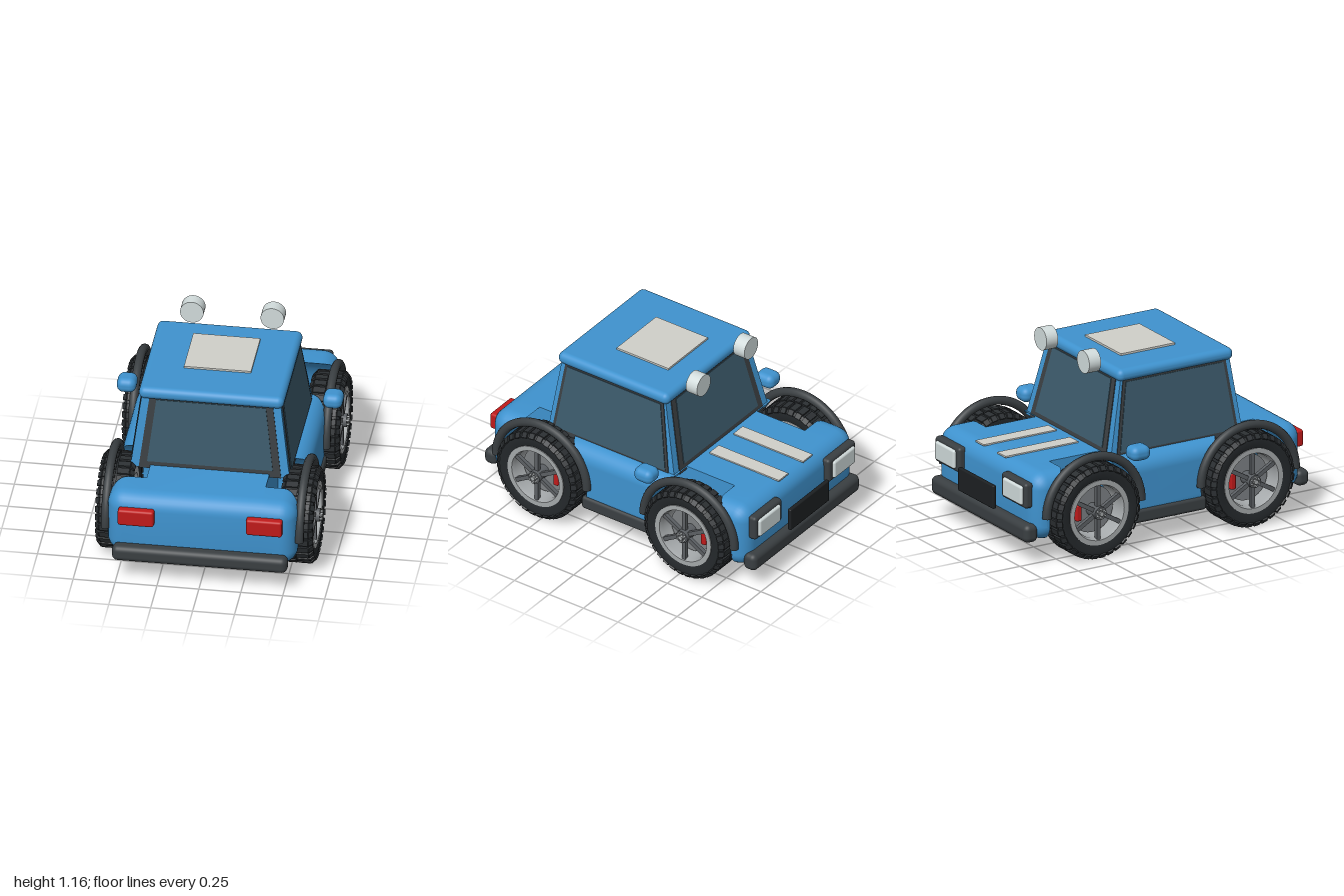
import * as THREE from 'three';
import { toCreasedNormals, mergeGeometries } from 'three/addons/utils/BufferGeometryUtils.js';
import { RoundedBoxGeometry } from 'three/addons/geometries/RoundedBoxGeometry.js';

const mat = (color) => new THREE.MeshStandardMaterial({ color });
const blue = mat(0x3f93cf), rubber = mat(0x24282b), tread = mat(0x2c3033), trim = mat(0x3a3f42);
const glass = mat(0x3c5a6b), red = mat(0xc01a1a), silver = mat(0xa4a8aa), steel = mat(0x5c6064);
const pale = mat(0xd0d0ca), lamp = mat(0xd2dcdc), plateDark = mat(0x1d2022);

const WHEEL_Z = 0.535, WHEEL_Y = 0.29, ARCH = 0.32; // wheel centres and arch radius
const CORE_X = 0.355, BODY_X = 0.565, R = 0.1;      // body half widths and edge rounding
const MID_LO = 0.24, MID_HI = 0.46, END_Z = 0.83;   // centres of the rounded body edges

function add(parent, name, geometry, material, x = 0, y = 0, z = 0) {
  const m = new THREE.Mesh(geometry, material);
  m.name = name;
  m.position.set(x, y, z);
  parent.add(m);
  return m;
}

// Rounded block given by its limits on each axis
function block(parent, name, material, [x0, x1], [y0, y1], [z0, z1], r) {
  const g = new RoundedBoxGeometry(x1 - x0, y1 - y0, z1 - z0, 4, r);
  return add(parent, name, g, material, (x0 + x1) / 2, (y0 + y1) / 2, (z0 + z1) / 2);
}

// Quarter circle points on a rounded body end, in (z, y)
function endArc(r) {
  const pts = [];
  for (const [cy, a0] of [[MID_LO, -Math.PI / 2], [MID_HI, 0]])
    for (let i = 0; i <= 8; i++) {
      const a = a0 + (i / 8) * Math.PI / 2;
      pts.push(new THREE.Vector2(END_Z + r * Math.cos(a), cy + r * Math.sin(a)));
    }
  return pts;
}

// Wheel arch curve from top to bottom; dir +1 is the end side, -1 the middle side
function archCurve(r, dir) {
  const a0 = Math.asin((MID_HI + r - WHEEL_Y) / ARCH), a1 = Math.asin((MID_LO - r - WHEEL_Y) / ARCH);
  return Array.from({ length: 15 }, (_, i) => {
    const a = a0 + (a1 - a0) * i / 14;
    return new THREE.Vector2(WHEEL_Z + dir * ARCH * Math.cos(a), WHEEL_Y + ARCH * Math.sin(a));
  });
}

const mirrorZ = (pts) => pts.map((p) => new THREE.Vector2(-p.x, p.y));
const endOutline = (r) => [...endArc(r), ...archCurve(r, 1)];
const middleOutline = (r) => [...archCurve(r, -1), ...mirrorZ(archCurve(r, -1)).reverse()];

// Body side panel: outlines stacked along x, shrinking round the outer edge, then capped
function sidePanel(outline) {
  const pos = [], idx = [];
  const layers = [[CORE_X, R]];
  for (let i = 0; i <= 8; i++) {
    const a = (i / 8) * Math.PI / 2;
    layers.push([BODY_X - R + R * Math.sin(a), Math.max(0.001, R * Math.cos(a))]);
  }
  let ring;
  for (const [x, r] of layers) {
    ring = outline(r);
    if (THREE.ShapeUtils.area(ring) > 0) ring.reverse();
    for (const p of ring) pos.push(x, p.y, p.x);
  }
  const n = ring.length;
  for (let k = 0; k < layers.length - 1; k++)
    for (let i = 0; i < n; i++) {
      const a = k * n + i, b = k * n + (i + 1) % n;
      idx.push(a, b, b + n, a, b + n, a + n);
    }
  const base = (layers.length - 1) * n;
  for (const [a, b, c] of THREE.ShapeUtils.triangulateShape(ring, [])) {
    const flip = THREE.ShapeUtils.area([ring[a], ring[b], ring[c]]) > 0;
    idx.push(base + a, base + (flip ? c : b), base + (flip ? b : c));
  }
  const g = new THREE.BufferGeometry();
  g.setAttribute('position', new THREE.Float32BufferAttribute(pos, 3));
  g.setIndex(idx);
  return toCreasedNormals(g, 0.6);
}

function buildBody(car) {
  const body = new THREE.Group();
  body.name = 'body';
  car.add(body);
  // Narrow core between the wheels
  const profile = new THREE.Shape([...endArc(R), ...mirrorZ(endArc(R)).reverse()]);
  const core = new THREE.ExtrudeGeometry(profile, { depth: 2 * CORE_X, bevelEnabled: false });
  core.translate(0, 0, -CORE_X).rotateY(-Math.PI / 2);
  add(body, 'bodyCore', toCreasedNormals(core, 0.6), blue);
  // Three panels on each side, with the wheel arches cut between them
  const panels = [['endPanel', endOutline], ['middlePanel', middleOutline],
    ['endPanel', (r) => mirrorZ(endOutline(r))]];
  for (const [name, outline] of panels)
    for (const turn of [0, Math.PI]) add(body, name, sidePanel(outline), blue).rotation.y = turn;
}

// Tapered box; widths [bottom, top] and z limits are interpolated along the cabin height
const Y0 = 0.54, Y1 = 1.0;
function taper(parent, name, material, xs, back, front, y0 = Y0, y1 = Y1) {
  const g = new THREE.BoxGeometry(2, y1 - y0, 2).translate(0, (y0 + y1) / 2, 0);
  const p = g.attributes.position;
  for (let i = 0; i < p.count; i++) {
    const t = (p.getY(i) - Y0) / (Y1 - Y0);
    const at = ([a, b]) => a + (b - a) * t;
    p.setX(i, p.getX(i) * at(xs));
    p.setZ(i, p.getZ(i) > 0 ? at(front) : at(back));
  }
  g.computeVertexNormals();
  add(parent, name, g, material);
}

function buildCabin(car) {
  const cabin = new THREE.Group();
  cabin.name = 'cabin';
  car.add(cabin);
  const grow = ([a, b], d) => [a + d, b + d];
  const xs = [0.475, 0.415], back = [-0.355, -0.25], front = [0.56, 0.505];
  taper(cabin, 'pillars', blue, xs, back, front);
  // Screens at both ends, windows at both sides: dark frame, then glass
  taper(cabin, 'screenFrame', trim, [0.425, 0.368], grow(back, -0.005), grow(front, 0.005));
  taper(cabin, 'screenGlass', glass, [0.38, 0.325], grow(back, -0.009), grow(front, 0.009), 0.585, 0.985);
  taper(cabin, 'windowFrame', trim, grow(xs, 0.005), [-0.315, -0.235], [0.53, 0.475]);
  taper(cabin, 'windowGlass', glass, grow(xs, 0.009), [-0.295, -0.215], [0.51, 0.455], 0.57, 0.985);
  block(cabin, 'roof', blue, [-0.432, 0.432], [0.985, 1.062], [-0.27, 0.53], 0.036);
  add(cabin, 'roofPlate', new THREE.BoxGeometry(0.4, 0.012, 0.375), pale, 0, 1.068, 0.073);
}

function buildWheel(side) {
  const wheel = new THREE.Group();
  wheel.name = 'wheel';
  const lathe = (pts) => toCreasedNormals(
    new THREE.LatheGeometry(pts.map(([r, y]) => new THREE.Vector2(r, y)), 48).rotateZ(-Math.PI / 2), 0.5);
  const disc = (r, h, n = 32) => new THREE.CylinderGeometry(r, r, h, n).rotateZ(Math.PI / 2);
  add(wheel, 'tyre', lathe([[0.19, -0.085], [0.235, -0.1], [0.262, -0.097], [0.28, -0.078],
    [0.28, 0.078], [0.262, 0.097], [0.235, 0.1], [0.19, 0.085]]), rubber);
  add(wheel, 'rim', lathe([[0.2, -0.09], [0.202, 0.095], [0.172, 0.095], [0.163, 0.07],
    [0.163, -0.09], [0.2, -0.09]]), silver);
  // Two staggered rows of tread blocks with sloping shoulder blocks
  const blocks = [];
  const count = 32;
  for (let i = 0; i < count; i++)
    for (const row of [-1, 1]) {
      const a = ((i + (row > 0 ? 0.5 : 0)) / count) * Math.PI * 2;
      blocks.push(new THREE.BoxGeometry(0.072, 0.02, 0.04).translate(row * 0.041, 0.28, 0).rotateX(a));
      blocks.push(new THREE.BoxGeometry(0.034, 0.014, 0.036).rotateZ(-row * 0.85)
        .translate(row * 0.089, 0.272, 0).rotateX(a));
    }
  add(wheel, 'treadBlocks', mergeGeometries(blocks), tread);
  // Spokes, hub and bolts
  const spokes = [], bolts = [];
  for (let i = 0; i < 6; i++) {
    const a = (i / 6) * Math.PI * 2;
    spokes.push(new THREE.BoxGeometry(0.025, 0.15, 0.026).translate(0.075, 0.095, 0).rotateX(a));
    bolts.push(disc(0.007, 0.02, 8).translate(0.115, 0.026, 0).rotateX(a));
  }
  add(wheel, 'spokes', mergeGeometries(spokes), steel);
  add(wheel, 'bolts', mergeGeometries(bolts), silver);
  add(wheel, 'hub', disc(0.04, 0.12), steel, 0.05);
  add(wheel, 'hubCap', disc(0.014, 0.02, 16), silver, 0.115);
  // Brake
  add(wheel, 'brakeDisc', disc(0.145, 0.02), mat(0x7c8083));
  add(wheel, 'brakeCaliper', new RoundedBoxGeometry(0.05, 0.1, 0.035, 2, 0.008), red, 0.02, 0, -0.108 * side);
  wheel.position.set(0.545 * side, WHEEL_Y, 0);
  wheel.rotation.y = side > 0 ? 0 : Math.PI;
  return wheel;
}

export function createModel() {
  const car = new THREE.Group();
  car.name = 'car';
  buildBody(car);
  buildCabin(car);
  for (const s of [-1, 1]) {
    const span = (a, b) => (s > 0 ? [a, b] : [-b, -a]);
    for (const z of [-WHEEL_Z, WHEEL_Z]) {
      const wheel = buildWheel(s);
      wheel.position.z = z;
      car.add(wheel);
      const arch = new THREE.TorusGeometry(0.327, 0.027, 10, 32, Math.PI).rotateY(Math.PI / 2);
      add(car, 'archTrim', arch, trim, s * 0.578, WHEEL_Y + 0.005, z);
    }
    block(car, 'sideSkirt', trim, span(0.53, 0.578), [0.145, 0.23], [-0.245, 0.25], 0.02);
    block(car, 'mirror', blue, span(0.557, 0.673), [0.565, 0.657], [-0.318, -0.188], 0.04);
    block(car, 'redLight', red, span(0.275, 0.49), [0.38, 0.485], [0.92, 0.975], 0.015);
    block(car, 'headlightHousing', trim, span(0.235, 0.51), [0.35, 0.508], [-0.968, -0.91], 0.02);
    block(car, 'headlight', lamp, span(0.27, 0.485), [0.37, 0.487], [-0.985, -0.945], 0.014);
    add(car, 'stripe', new THREE.BoxGeometry(0.094, 0.01, 0.505), pale, s * 0.122, 0.563, -0.642);
    const spot = new THREE.CylinderGeometry(0.07, 0.07, 0.08, 32).rotateX(Math.PI / 2);
    add(car, 'roofLight', spot, lamp, s * 0.24, 1.088, -0.36);
  }
  block(car, 'bumper', trim, [-0.523, 0.523], [0.142, 0.242], [0.912, 1.0], 0.035);
  block(car, 'bumper', trim, [-0.54, 0.54], [0.142, 0.255], [-0.983, -0.89], 0.035);
  block(car, 'plate', plateDark, [-0.197, 0.197], [0.265, 0.41], [-1.0, -0.974], 0.008);
  return car;
}
